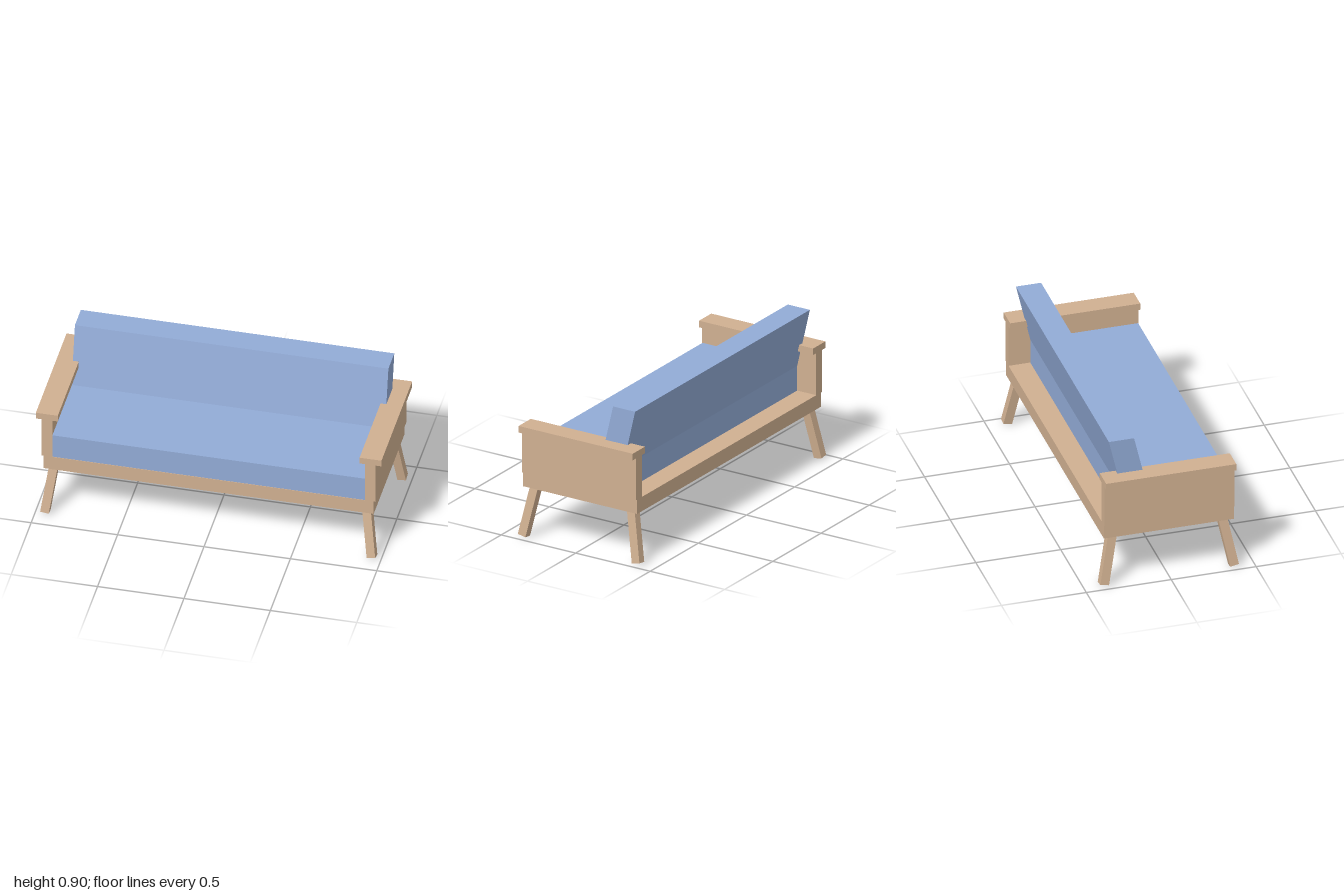
import * as THREE from 'three';

export function createModel() {
  const model = new THREE.Group();
  model.name = 'sofa';
  const wood = new THREE.MeshStandardMaterial({ name: 'wood', color: 0xd0b091 });
  const fabric = new THREE.MeshStandardMaterial({ name: 'blueFabric', color: 0x92abd6 });

  const add = (name, geometry, material) => {
    const mesh = new THREE.Mesh(geometry, material);
    mesh.name = name;
    model.add(mesh);
    return mesh;
  };
  // Box given by its limits on each axis
  const block = (name, material, [x0, x1], [y0, y1], [z0, z1]) => {
    const mesh = add(name, new THREE.BoxGeometry(x1 - x0, y1 - y0, z1 - z0), material);
    mesh.position.set((x0 + x1) / 2, (y0 + y1) / 2, (z0 + z1) / 2);
    return mesh;
  };

  const depth = [-0.383, 0.383];
  block('base', wood, [-0.955, 0.955], [0.308, 0.395], depth);
  block('seatCushion', fabric, [-0.905, 0.905], [0.395, 0.545], [-0.255, 0.38]);

  // Backrest: a parallelogram profile leaning back, with level top and bottom
  const profile = new THREE.Shape([
    new THREE.Vector2(-0.107, 0.545),
    new THREE.Vector2(-0.255, 0.545),
    new THREE.Vector2(-0.339, 0.904),
    new THREE.Vector2(-0.191, 0.904),
  ]);
  const back = new THREE.ExtrudeGeometry(profile, { depth: 1.814, bevelEnabled: false });
  back.translate(0, 0, -0.907).rotateY(-Math.PI / 2); // profile x becomes z
  add('backrest', back, fabric);

  for (const side of [-1, 1]) {
    const name = side > 0 ? 'left' : 'right';
    const span = (a, b) => (side > 0 ? [a, b] : [-b, -a]);
    block(name + 'ArmPanel', wood, span(0.905, 0.966), [0.395, 0.65], depth);
    block(name + 'ArmRest', wood, span(0.873, 1), [0.65, 0.69], depth);

    // Splayed square legs, running a little way into the base
    for (const end of [-1, 1]) {
      const foot = new THREE.Vector3(side * 0.945, 0.009, end * 0.383);
      const top = new THREE.Vector3(side * 0.902, 0.332, end * 0.32);
      const axis = top.clone().sub(foot);
      const leg = add(name + (end > 0 ? 'FrontLeg' : 'BackLeg'),
        new THREE.BoxGeometry(0.05, axis.length(), 0.052), wood);
      leg.position.copy(foot).add(top).multiplyScalar(0.5);
      leg.quaternion.setFromUnitVectors(new THREE.Vector3(0, 1, 0), axis.normalize());
    }
  }
  return model;
}
